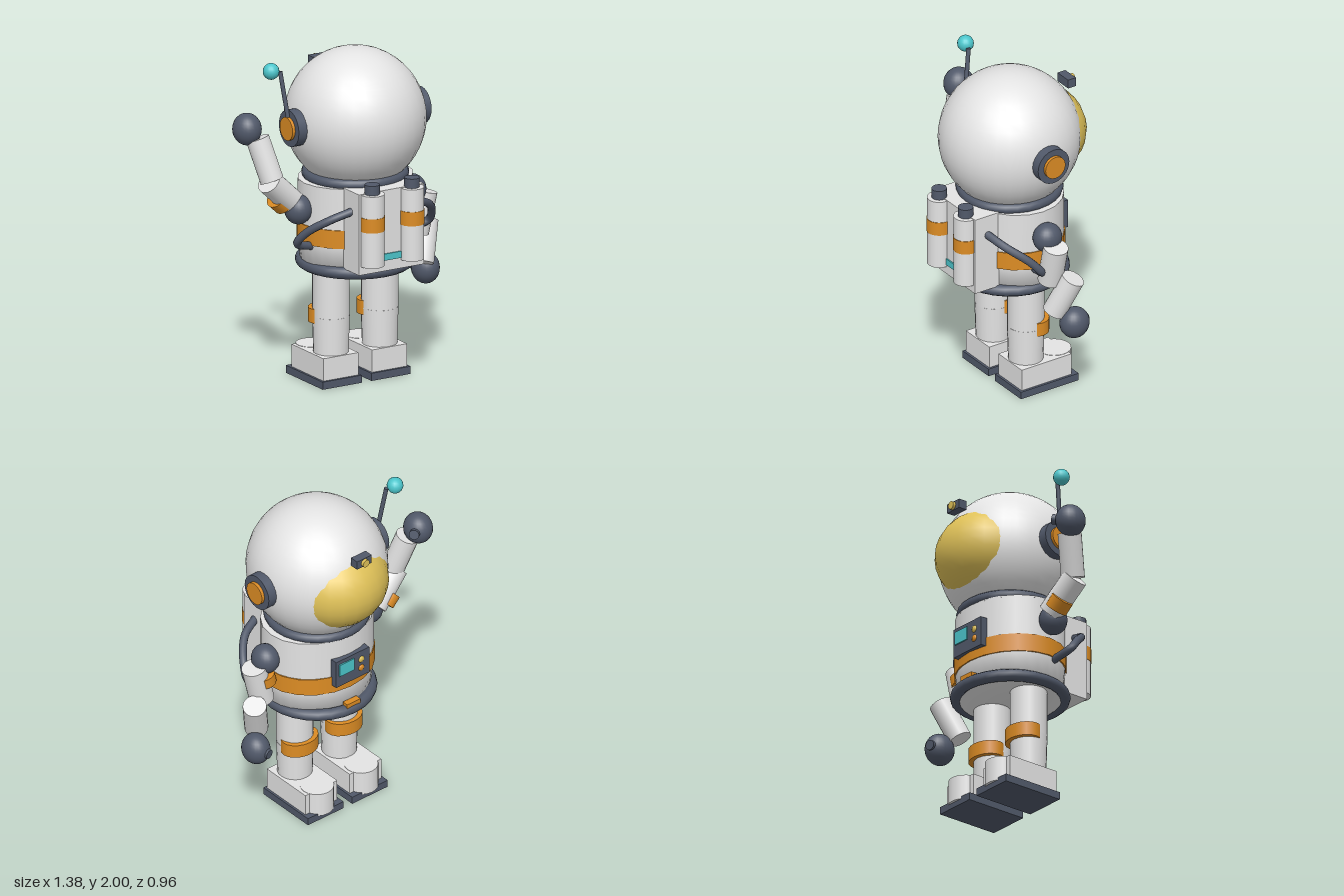
import * as THREE from 'three';

const mat = (name, color) => {
  const m = new THREE.MeshStandardMaterial({ color });
  m.name = name;
  return m;
};

export function createModel() {
  const white = mat('suit white', 0xe4e4e4);
  const dark = mat('dark slate', 0x51596a);
  const orange = mat('orange trim', 0xdc8c24);
  const gold = mat('visor gold', 0xdfc158);
  const cyan = mat('cyan glow', 0x4cc6cc);

  const model = new THREE.Group();
  model.name = 'astronaut';
  const CX = 0.067; // body centre line

  const add = (name, geo, material, pos = [0, 0, 0], scale = [1, 1, 1]) => {
    const m = new THREE.Mesh(geo, material);
    m.name = name;
    m.position.set(...pos);
    m.scale.set(...scale);
    model.add(m);
    return m;
  };
  const ball = (name, r, material, pos, scale, w = 24, h = 16) =>
    add(name, new THREE.SphereGeometry(r, w, h), material, pos, scale);
  const box = (name, size, material, pos) =>
    add(name, new THREE.BoxGeometry(...size), material, pos);
  const cyl = (name, r, h, material, pos, scale, rBottom = r) =>
    add(name, new THREE.CylinderGeometry(r, rBottom, h, 20), material, pos, scale);
  // Cylinder stretched between two points
  const limb = (name, r, a, b, material) => {
    const p = new THREE.Vector3(...a), q = new THREE.Vector3(...b);
    const m = cyl(name, r, p.distanceTo(q), material, p.clone().add(q).multiplyScalar(0.5).toArray());
    m.quaternion.setFromUnitVectors(new THREE.Vector3(0, 1, 0), q.sub(p).normalize());
    return m;
  };

  // Helmet, visor and lamp
  ball('helmet', 0.42, white, [CX, 1.58, 0], [0.985, 1, 1], 32, 24);
  ball('visor', 0.32, gold, [CX, 1.57, -0.15], [1, 0.89, 1.03]);
  box('helmetLamp', [0.11, 0.055, 0.055], dark, [CX, 1.825, -0.403]);
  cyl('lampLens', 0.024, 0.02, gold, [CX, 1.825, -0.439]).rotation.x = Math.PI / 2;

  // Ear pads on both sides
  for (const s of [-1, 1]) {
    cyl('earPad', 0.11, 0.08, dark, [CX + s * 0.415, 1.58, 0]).rotation.z = Math.PI / 2;
    cyl('earCap', 0.07, 0.06, orange, [CX + s * 0.444, 1.58, 0]).rotation.z = Math.PI / 2;
  }

  // Antenna
  limb('antennaRod', 0.013, [-0.39, 1.62, 0], [-0.42, 1.92, -0.045], dark);
  ball('antennaTip', 0.049, cyan, [-0.473, 1.925, -0.06], [1, 1, 1], 16, 12);

  // Torso, belt and rings
  const profile = [[0, 0.695], [0.33, 0.695], [0.348, 0.87], [0.35, 0.9], [0.35, 1.23]];
  add('torso', new THREE.LatheGeometry(profile.map(p => new THREE.Vector2(...p)), 28),
    white, [CX, 0, 0], [1, 1, 0.86]);
  cyl('torsoTop', 0.35, 0.01, white, [CX, 1.226, 0], [1, 1, 0.86]);
  cyl('belt', 0.358, 0.11, orange, [CX, 0.925, 0], [1, 1, 0.86]);
  for (const [name, R, t, y] of [['neckRing', 0.282, 0.033, 1.25], ['hipRing', 0.316, 0.036, 0.722]])
    add(name, new THREE.TorusGeometry(R, t, 10, 28), dark, [CX, y, 0]).rotation.x = Math.PI / 2;
  box('buckle', [0.1, 0.05, 0.04], orange, [CX, 0.75, -0.315]);

  // Chest control panel
  box('chestPanel', [0.25, 0.18, 0.05], dark, [CX, 1.015, -0.3]);
  box('panelScreen', [0.11, 0.08, 0.009], cyan, [CX + 0.05, 1.04, -0.329]);
  ball('upperKnob', 0.022, gold, [CX - 0.065, 1.045, -0.322], [1, 1, 0.6], 12, 8);
  ball('lowerKnob', 0.022, orange, [CX - 0.065, 0.985, -0.322], [1, 1, 0.6], 12, 8);

  // Backpack with two tanks
  box('backpack', [0.445, 0.49, 0.17], white, [CX, 0.995, 0.31]);
  box('backpackStrip', [0.13, 0.04, 0.009], cyan, [CX, 0.835, 0.399]);
  for (const s of [-1, 1]) {
    const x = CX + s * 0.136;
    cyl('tank', 0.072, 0.435, white, [x, 1.018, 0.402]);
    cyl('tankBand', 0.075, 0.085, orange, [x, 1.058, 0.402]);
    cyl('tankValve', 0.045, 0.06, dark, [x, 1.263, 0.402]);

    // Hose from the backpack round to the waist
    const path = [[0.2, 1.12, 0.31], [0.33, 1.07, 0.26], [0.43, 0.98, 0.15], [0.45, 0.9, 0.08], [0.33, 0.86, 0.05]];
    const curve = new THREE.CatmullRomCurve3(path.map(([x2, y, z]) => new THREE.Vector3(CX + s * x2, y, z)));
    add('hose', new THREE.TubeGeometry(curve, 24, 0.024, 10), dark);
  }

  // Legs and boots
  for (const s of [-1, 1]) {
    const x = CX + s * 0.167;
    cyl('upperLeg', 0.109, 0.31, white, [x, 0.555, 0]);
    cyl('lowerLeg', 0.11, 0.24, white, [x, 0.285, 0], [1, 1, 1], 0.103);
    cyl('kneeBand', 0.12, 0.085, orange, [x, 0.407, -0.042], [1, 1, 0.78]);
    box('boot', [0.24, 0.14, 0.35], white, [x, 0.112, -0.065]);
    cyl('bootToe', 0.1, 0.152, white, [x, 0.108, -0.2]);
    box('bootSole', [0.268, 0.046, 0.405], dark, [x, 0.023, -0.078]);
  }

  // Raised right arm
  ball('rightShoulder', 0.085, dark, [-0.325, 1.08, 0], [0.95, 1.05, 1]);
  limb('rightUpperArm', 0.076, [-0.34, 1.11, -0.03], [-0.525, 1.28, 0], white);
  const rightBand = limb('rightArmBand', 0.07, [-0.4, 1.11, -0.04], [-0.455, 1.16, -0.035], orange);
  rightBand.scale.x = 0.9;
  limb('rightForearm', 0.07, [-0.505, 1.285, 0], [-0.56, 1.53, -0.07], white);
  ball('rightHand', 0.087, dark, [-0.61, 1.585, -0.105], [0.97, 1.1, 1.05]);
  limb('rightThumb', 0.03, [-0.575, 1.59, -0.13], [-0.525, 1.605, -0.17], dark);

  // Lowered left arm
  ball('leftShoulder', 0.085, dark, [0.457, 1.08, 0], [0.95, 1.05, 1.05]);
  limb('leftUpperArm', 0.074, [0.545, 1.055, 0], [0.485, 0.81, 0], white);
  limb('leftArmBand', 0.063, [0.49, 1.0, -0.025], [0.475, 0.935, -0.025], orange);
  limb('leftForearm', 0.07, [0.605, 0.85, -0.08], [0.525, 0.62, 0], white);
  ball('leftHand', 0.087, dark, [0.604, 0.555, -0.09], [0.94, 1.1, 1.05]);
  limb('leftThumb', 0.03, [0.59, 0.555, -0.14], [0.58, 0.55, -0.185], dark);

  return model;
}
